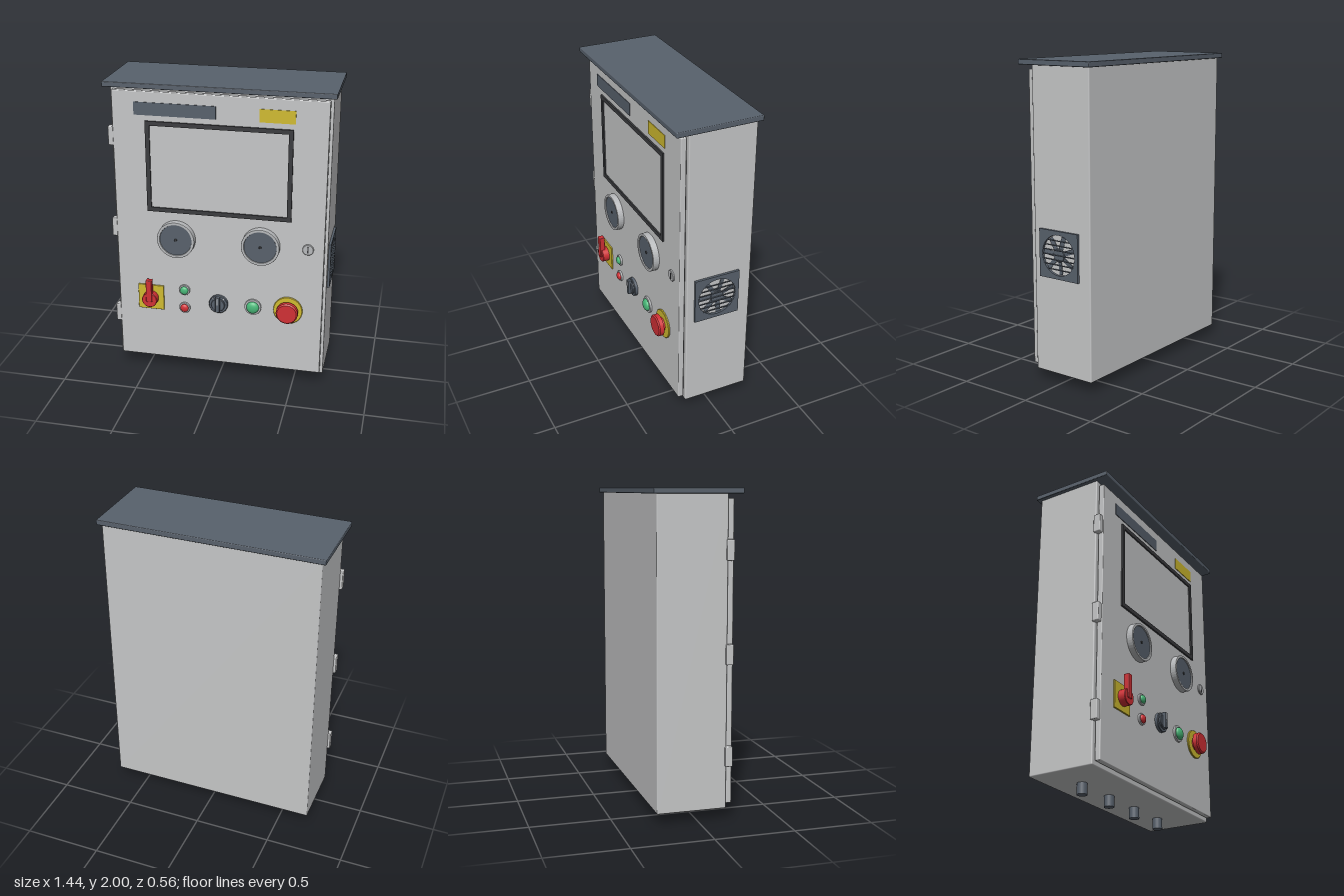
import * as THREE from 'three';
import { RoundedBoxGeometry } from 'three/addons/geometries/RoundedBoxGeometry.js';

const mat = (name, color) => {
  const m = new THREE.MeshStandardMaterial({ color });
  m.name = name;
  return m;
};

export function createModel() {
  const paint = mat('light grey paint', 0xc6c7c8);
  const slate = mat('slate', 0x58616c);
  const black = mat('dark bezel', 0x3a3b3e);
  const yellow = mat('safety yellow', 0xd0bb30);
  const red = mat('signal red', 0xd03035);
  const green = mat('signal green', 0x48b878);
  const metal = mat('metal', 0xb8babc);

  const model = new THREE.Group();
  model.name = 'controlCabinet';
  const DOOR = 0.217; // front plane of the door

  const add = (name, geo, material, x = 0, y = 0, z = 0, parent = model) => {
    const mesh = new THREE.Mesh(geo, material);
    mesh.name = name;
    mesh.position.set(x, y, z);
    parent.add(mesh);
    return mesh;
  };
  // Box given by its limits, with an optional edge radius
  const box = (name, material, x0, x1, y0, y1, z0, z1, r = 0, parent = model) => {
    const s = [x1 - x0, y1 - y0, z1 - z0];
    const geo = r ? new RoundedBoxGeometry(...s, 2, r) : new THREE.BoxGeometry(...s);
    return add(name, geo, material, (x0 + x1) / 2, (y0 + y1) / 2, (z0 + z1) / 2, parent);
  };
  // Disc facing +z with a small chamfer, from z0 to z1
  const disc = (name, material, x, y, r, z0, z1, bevel = 0.003, parent = model) => {
    const h = z1 - z0;
    const side = new THREE.LatheGeometry(
      [[0, 0], [r, 0], [r, 0], [r, h - bevel], [r, h - bevel], [r - bevel, h], [r - bevel, h], [0, h]]
        .map(p => new THREE.Vector2(...p)), 40);
    side.rotateX(Math.PI / 2);
    return add(name, side, material, x, y, z0, parent);
  };
  // Ring facing +z
  const ring = (name, material, x, y, outer, inner, z0, z1, parent = model) => {
    const shape = new THREE.Shape().absarc(0, 0, outer, 0, Math.PI * 2, false);
    shape.holes.push(new THREE.Path().absarc(0, 0, inner, 0, Math.PI * 2, true));
    const b = 0.004;
    const geo = new THREE.ExtrudeGeometry(shape, {
      depth: z1 - z0 - b, bevelEnabled: true, bevelThickness: b, bevelSize: b,
      bevelOffset: -b, bevelSegments: 2, curveSegments: 24 });
    return add(name, geo, material, x, y, z0, parent);
  };

  // Housing, gasket, door and rain roof
  box('housing', paint, -0.695, 0.695, 0.07, 1.975, -0.26, 0.176, 0.008);
  box('doorGasket', black, -0.665, 0.665, 0.11, 1.925, 0.17, 0.184);
  box('door', paint, -0.677, 0.677, 0.095, 1.94, 0.181, DOOR, 0.006);
  box('roof', slate, -0.72, 0.72, 1.967, 2, -0.282, 0.264, 0.005);

  // Hinges on the door edge
  for (const y of [0.395, 1.02, 1.64])
    box('hinge', paint, -0.711, -0.672, y - 0.062, y + 0.062, 0.165, 0.212, 0.006);

  // Label plates
  box('namePlate', slate, -0.535, -0.015, 1.79, 1.872, DOOR - 0.002, DOOR + 0.004);
  box('warningPlate', yellow, 0.253, 0.475, 1.79, 1.872, DOOR - 0.002, DOOR + 0.004);

  // Screen frame
  const rect = (P, w, h) => new P([[-w, -h], [w, -h], [w, h], [-w, h]].map(p => new THREE.Vector2(...p)));
  const frame = rect(THREE.Shape, 0.464, 0.298);
  frame.holes.push(rect(THREE.Path, 0.436, 0.27));
  add('screenFrame', new THREE.ExtrudeGeometry(frame, { depth: 0.016, bevelEnabled: false }),
    black, 0, 1.457, DOOR - 0.005);
  box('screen', paint, -0.438, 0.438, 1.185, 1.729, DOOR - 0.004, DOOR + 0.002);

  // Round gauges
  for (const x of [-0.275, 0.275]) {
    ring('gaugeBezel', metal, x, 0.98, 0.123, 0.105, DOOR - 0.002, 0.258);
    disc('gaugeDial', slate, x, 0.98, 0.107, DOOR, 0.25, 0.001);
    disc('gaugePivot', black, x, 0.98, 0.009, 0.249, 0.255, 0.002);
  }

  // Door lock
  disc('lock', metal, 0.575, 0.98, 0.036, DOOR - 0.002, 0.227);
  box('lockSlot', black, 0.571, 0.579, 0.958, 1.002, 0.225, 0.2285);

  // Main isolator switch
  box('isolatorPlate', yellow, -0.545, -0.371, 0.455, 0.63, DOOR - 0.002, 0.227, 0.003);
  disc('isolatorHub', red, -0.458, 0.54, 0.051, 0.225, 0.274);
  box('isolatorHandle', red, -0.478, -0.438, 0.53, 0.686, 0.246, 0.283, 0.005);

  // Pilot lamps and start button: collar with a domed cap
  const lamp = (name, material, x, y, r, collar) => {
    ring(name + 'Collar', metal, x, y, collar, r * 0.95, DOOR - 0.002, 0.23);
    const dome = new THREE.SphereGeometry(r, 28, 10, 0, Math.PI * 2, 0, Math.PI / 2);
    dome.rotateX(Math.PI / 2).scale(1, 1, 0.5);
    disc(name + 'Base', material, x, y, r, DOOR, 0.234, 0.001);
    add(name + 'Cap', dome, material, x, y, 0.233);
  };
  lamp('greenLamp', green, -0.23, 0.615, 0.027, 0.037);
  lamp('redLamp', red, -0.23, 0.486, 0.027, 0.037);
  lamp('startButton', green, 0.228, 0.54, 0.041, 0.055);

  // Selector switch with grip and pointer
  disc('selectorBase', slate, 0, 0.54, 0.063, DOOR - 0.002, 0.238);
  disc('selectorKnob', slate, 0, 0.54, 0.045, 0.236, 0.25);
  box('selectorGrip', slate, -0.014, 0.014, 0.495, 0.602, 0.24, 0.268, 0.004);
  box('selectorPointer', metal, -0.004, 0.004, 0.55, 0.598, 0.266, 0.27);
  for (const a of [-0.7, 0.7]) {
    const tick = box('selectorTick', metal, -0.003, 0.003, -0.008, 0.008, 0.236, 0.2395);
    tick.position.x = -Math.sin(a) * 0.054;
    tick.position.y = 0.54 + Math.cos(a) * 0.054;
    tick.rotation.z = a;
  }

  // Emergency stop with mushroom head
  disc('stopRing', yellow, 0.458, 0.54, 0.095, DOOR - 0.002, 0.227);
  disc('stopStem', red, 0.458, 0.54, 0.045, 0.225, 0.25);
  disc('stopHead', red, 0.458, 0.54, 0.071, 0.245, 0.28, 0.008);

  // Side fan, built facing +z and turned towards +x
  const fan = new THREE.Group();
  fan.name = 'sideFan';
  fan.position.set(0.695, 0.835, -0.025);
  fan.rotation.y = Math.PI / 2;
  model.add(fan);
  const grille = rect(THREE.Shape, 0.15, 0.15);
  grille.holes.push(new THREE.Path().absarc(0, 0, 0.126, 0, Math.PI * 2, true));
  add('fanPlate', new THREE.ExtrudeGeometry(grille, { depth: 0.015, bevelEnabled: false, curveSegments: 24 }),
    slate, 0, 0, 0, fan);
  disc('fanHub', slate, 0, 0, 0.042, 0, 0.011, 0.002, fan);
  const bladeShape = rect(THREE.Shape, 0.045, 0.015);
  for (let i = 0; i < 7; i++) {
    const blade = new THREE.Group();
    blade.name = 'fanBlade';
    blade.rotation.z = 0.35 + i * Math.PI * 2 / 7;
    fan.add(blade);
    const geo = new THREE.ExtrudeGeometry(bladeShape, { depth: 0.002, bevelEnabled: false });
    geo.rotateX(0.15);
    add('blade', geo, slate, 0.075, 0, 0.005, blade);
  }
  for (let i = -3; i <= 3; i++) {
    const y = i * 0.03, w = Math.sqrt(0.128 ** 2 - y * y);
    box('fanGuardBar', slate, -w, w, y - 0.0025, y + 0.0025, 0.012, 0.018, 0, fan);
  }

  // Cable glands under the housing
  for (const x of [-0.44, -0.147, 0.147, 0.44])
    add('cableGland', new THREE.CylinderGeometry(0.032, 0.032, 0.075, 24), slate, x, 0.0375, -0.06);

  return model;
}
